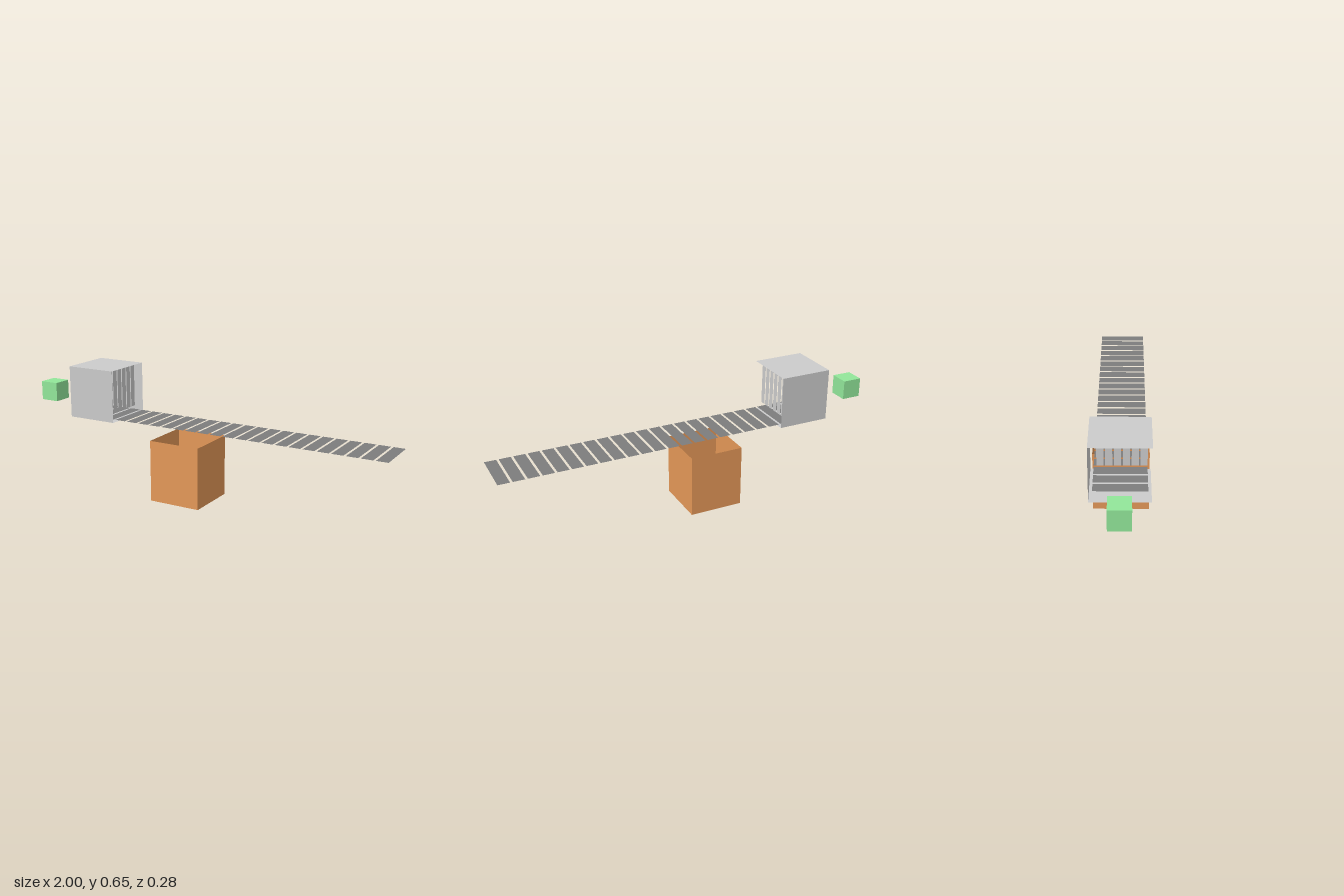
import * as THREE from 'three';

const H = Math.PI / 2;
const mat = (color, side = THREE.DoubleSide) =>
  new THREE.MeshStandardMaterial({ color, side, flatShading: true });

export function createModel() {
  const model = new THREE.Group();
  const grey = mat(0xcccccc);
  const greyOuter = mat(0xcccccc, THREE.FrontSide);
  const dark = mat(0x7d7d7d);
  const orange = mat(0xe49858);
  const green = mat(0x92e79a, THREE.FrontSide);

  const group = (name) => {
    const g = new THREE.Group();
    g.name = name;
    model.add(g);
    return g;
  };

  // Flat sheet w x h, centred at pos, turned by rot
  const sheet = (parent, name, w, h, material, pos, rot = [0, 0, 0]) => {
    const m = new THREE.Mesh(new THREE.PlaneGeometry(w, h), material);
    m.name = name;
    m.position.set(...pos);
    m.rotation.set(...rot);
    parent.add(m);
  };

  // Conveyor belt: a row of thin slats running into the tunnel
  const belt = group('conveyorBelt');
  for (let i = 0; i < 24; i++) {
    sheet(belt, 'beltSlat', 0.058, 0.245, dark, [0.971 - i * 0.07, 0.396, 0], [-H, 0, 0]);
  }

  // Tunnel: four sheets, open at both ends
  const tunnel = group('tunnel');
  const tx = -0.597, ty = 0.517, w = 0.27, d = 0.274, h = 0.27;
  sheet(tunnel, 'tunnelTop', w, d, grey, [tx, ty + h / 2, 0], [-H, 0, 0]);
  sheet(tunnel, 'tunnelFloor', w, d, grey, [tx, ty - h / 2, 0], [H, 0, 0]);
  sheet(tunnel, 'tunnelFrontWall', w, h, greyOuter, [tx, ty, d / 2]);
  sheet(tunnel, 'tunnelBackWall', w, h, grey, [tx, ty, -d / 2], [0, Math.PI, 0]);

  // Curtain of hanging strips just inside the tunnel mouth
  const curtain = group('stripCurtain');
  for (let i = 0; i < 6; i++) {
    sheet(curtain, 'curtainStrip', 0.032, 0.23, grey, [-0.495, 0.535, 0.106 - i * 0.0397], [0, H, 0]);
  }

  // Open-topped bin below the belt
  const bin = group('bin');
  const bx = -0.095, bw = 0.278, bh = 0.32;
  sheet(bin, 'binFloor', bw, bw, orange, [bx, 0, 0], [H, 0, 0]);
  for (let i = 0; i < 4; i++) {
    const a = i * H;
    sheet(bin, 'binWall', bw, bh, orange,
      [bx + Math.sin(a) * bw / 2, bh / 2, Math.cos(a) * bw / 2], [0, a, 0]);
  }

  // Small cube beyond the tunnel
  const cube = new THREE.Mesh(new THREE.BoxGeometry(0.101, 0.101, 0.101), green);
  cube.name = 'cube';
  cube.position.set(-0.9495, 0.477, 0);
  model.add(cube);

  return model;
}
